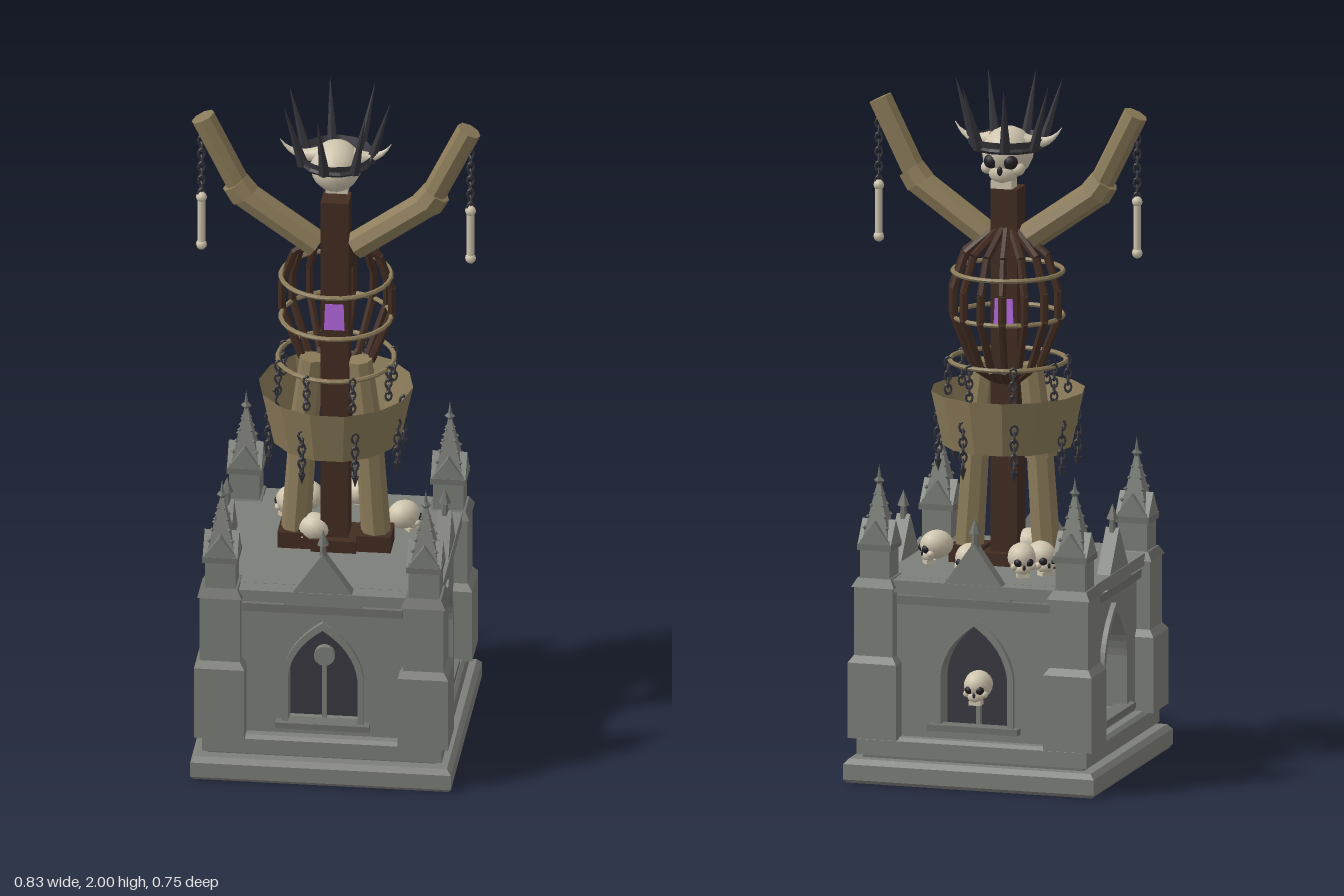
import * as THREE from 'three';

const mat = (color, flat = true, side = THREE.FrontSide) =>
  new THREE.MeshStandardMaterial({ color, flatShading: flat, side });
const M = {
  stone: mat(0x7d7f79), trim: mat(0x70726d), dark: mat(0x3b3942), wood: mat(0x432d22),
  hide: mat(0x8b7b59), hideOpen: mat(0x8b7b59, true, THREE.DoubleSide),
  bone: mat(0xcfc5ae, false), iron: mat(0x35353b), ironOpen: mat(0x3c3a42, true, THREE.DoubleSide),
  socket: mat(0x242126, false), glow: mat(0xb266dd),
};
const V = (x, y, z) => new THREE.Vector3(x, y, z);
const UP = V(0, 1, 0);

function add(parent, name, geo, material, x = 0, y = 0, z = 0) {
  const m = new THREE.Mesh(geo, material);
  m.name = name;
  m.position.set(x, y, z);
  parent.add(m);
  return m;
}
function group(parent, name, x = 0, y = 0, z = 0) {
  const g = new THREE.Group();
  g.name = name;
  g.position.set(x, y, z);
  parent.add(g);
  return g;
}
const box = (p, name, m, w, h, d, x, y, z) => add(p, name, new THREE.BoxGeometry(w, h, d), m, x, y, z);

// Tapered cylinder between two points
function beam(p, name, m, a, b, ra, rb = ra, seg = 8) {
  const c = add(p, name, new THREE.CylinderGeometry(rb, ra, a.distanceTo(b), seg), m);
  c.position.copy(a).lerp(b, 0.5);
  c.quaternion.setFromUnitVectors(UP, b.clone().sub(a).normalize());
  return c;
}
// Square frustum with sides along x and z, given half widths
function frustum(p, name, m, bottom, top, h, x, y, z) {
  const g = new THREE.CylinderGeometry(top * Math.SQRT2, bottom * Math.SQRT2, h, 4).rotateY(Math.PI / 4);
  return add(p, name, g, m, x, y + h / 2, z);
}
// Pointed arch outline
function arch(path, w, y0, spring, apex) {
  path.moveTo(-w, y0);
  path.lineTo(w, y0);
  path.lineTo(w, spring);
  path.quadraticCurveTo(w * 0.9, spring + (apex - spring) * 0.6, 0, apex);
  path.quadraticCurveTo(-w * 0.9, spring + (apex - spring) * 0.6, -w, spring);
  path.lineTo(-w, y0);
  return path;
}
const extrude = (shape, depth) =>
  new THREE.ExtrudeGeometry(shape, { depth, bevelEnabled: false, curveSegments: 8 });
const triangle = (w, y0, y1) =>
  new THREE.Shape([new THREE.Vector2(-w, y0), new THREE.Vector2(w, y0), new THREE.Vector2(0, y1)]);

// Skull looking along +z, with cranium radius r
function skull(parent, name, r, x, y, z, turn) {
  const g = group(parent, name, x, y, z);
  g.rotation.y = turn;
  const ball = (n, m, rad, px, py, pz, sx = 1, sy = 1, sz = 1) =>
    add(g, n, new THREE.SphereGeometry(rad * r, 14, 10), m, px * r, py * r, pz * r).scale.set(sx, sy, sz);
  ball('cranium', M.bone, 1, 0, 0.15, 0, 0.92, 0.92, 1.08);
  ball('upperJaw', M.bone, 0.55, 0, -0.5, 0.55, 1, 0.8, 0.8);
  box(g, 'lowerJaw', M.bone, 0.8 * r, 0.28 * r, 0.65 * r, 0, -0.92 * r, 0.5 * r);
  ball('noseHole', M.socket, 0.13, 0, -0.38, 0.98, 0.8, 1.3, 0.6);
  for (const s of [-1, 1]) {
    ball('eyeSocket', M.socket, 0.27, s * 0.36, -0.05, 0.84);
    ball('cheekbone', M.bone, 0.24, s * 0.58, -0.34, 0.6);
  }
  return g;
}
// Chain of links, alternately turned, hanging down from its origin
function chain(parent, name, x, y, z, links, r = 0.009) {
  const g = group(parent, name, x, y, z);
  for (let i = 0; i < links; i++) {
    const l = add(g, 'link', new THREE.TorusGeometry(r, r * 0.35, 5, 8), M.iron, 0, -r * (1 + i * 2.1), 0);
    l.scale.y = 1.4;
    l.rotation.y = (i % 2) * Math.PI / 2 + 0.4;
  }
  return g;
}

function buildWall(shrine, i) {
  const g = group(shrine, 'shrineWall');
  g.rotation.y = i * Math.PI / 2;
  const wall = new THREE.Shape([[-0.27, 0.13], [0.27, 0.13], [0.27, 0.56], [-0.27, 0.56]].map(p => new THREE.Vector2(...p)));
  wall.holes.push(arch(new THREE.Path(), 0.1, 0.17, 0.32, 0.47));
  add(g, 'wallPanel', extrude(wall, 0.06), M.stone, 0, 0, 0.25);
  const rim = arch(new THREE.Shape(), 0.118, 0.165, 0.32, 0.495);
  rim.holes.push(arch(new THREE.Path(), 0.1, 0.17, 0.32, 0.47));
  add(g, 'archMoulding', extrude(rim, 0.025), M.stone, 0, 0, 0.3);
  box(g, 'sill', M.trim, 0.27, 0.018, 0.05, 0, 0.17, 0.315);
  box(g, 'stringCourse', M.trim, 0.46, 0.025, 0.03, 0, 0.535, 0.312);
  box(g, 'cornice', M.stone, 0.48, 0.035, 0.06, 0, 0.575, 0.305);
  add(g, 'gable', extrude(triangle(0.115, 0.55, 0.715), 0.04), M.stone, 0, 0, 0.293);
  add(g, 'gableFinialStem', new THREE.CylinderGeometry(0.008, 0.012, 0.05, 6), M.trim, 0, 0.72, 0.313);
  add(g, 'gableFinial', new THREE.ConeGeometry(0.018, 0.045, 6), M.trim, 0, 0.762, 0.313);
  // The back niche holds a skull, the others a mullion with a disc
  const back = i === 2;
  box(g, 'mullion', M.stone, 0.012, back ? 0.06 : 0.2, 0.02, 0, back ? 0.2 : 0.27, 0.275);
  if (back) skull(g, 'nicheSkull', 0.045, 0, 0.285, 0.28, 0);
  else add(g, 'mullionDisc', new THREE.CylinderGeometry(0.03, 0.03, 0.02, 14).rotateX(Math.PI / 2), M.stone, 0, 0.37, 0.275);
}

function buildCorner(shrine, sx, sz) {
  const g = group(shrine, 'cornerButtress', sx * 0.293, 0, sz * 0.293);
  box(g, 'lowerPier', M.stone, 0.145, 0.22, 0.145, 0, 0.24, 0);
  frustum(g, 'pierSlope', M.stone, 0.0725, 0.058, 0.02, 0, 0.35, 0);
  box(g, 'upperPier', M.stone, 0.116, 0.21, 0.116, 0, 0.465, 0);
  frustum(g, 'pierCap', M.trim, 0.064, 0.05, 0.025, 0, 0.57, 0);
  box(g, 'pinnacleShaft', M.stone, 0.088, 0.12, 0.088, 0, 0.645, 0);
  box(g, 'pinnacleBand', M.trim, 0.102, 0.018, 0.102, 0, 0.685, 0);
  for (let k = 0; k < 4; k++) {
    const a = k * Math.PI / 2;
    add(g, 'gablet', extrude(triangle(0.05, 0.69, 0.76), 0.05), M.stone).rotation.y = a;
    // Knobs climbing the spire edges
    for (let j = 0; j < 4; j++) {
      const d = 0.038 * (1 - j * 0.24);
      add(g, 'crocket', new THREE.OctahedronGeometry(0.007), M.trim,
        d * Math.cos(a + Math.PI / 4), 0.74 + j * 0.031, d * Math.sin(a + Math.PI / 4)).position.multiply(V(1.25, 1, 1.25));
    }
  }
  frustum(g, 'spire', M.stone, 0.04, 0.004, 0.17, 0, 0.7, 0);
  add(g, 'spireFinial', new THREE.OctahedronGeometry(0.016), M.trim, 0, 0.872, 0);
  add(g, 'spireTip', new THREE.ConeGeometry(0.008, 0.05, 6), M.trim, 0, 0.895, 0);
}

function buildBody(root) {
  const body = group(root, 'body');
  box(body, 'spinePost', M.wood, 0.08, 1.1, 0.08, 0, 1.14, 0);
  box(body, 'postFoot', M.wood, 0.13, 0.04, 0.13, 0, 0.61, 0);
  const heart = frustum(body, 'glowingHeart', M.glow, 0.045, 0.041, 0.08, 0, 1.29, 0);
  heart.scale.x = 0.65;

  for (const s of [-1, 1]) {
    // Legs
    box(body, 'foot', M.wood, 0.1, 0.05, 0.1, s * 0.113, 0.617, 0);
    beam(body, 'shin', M.hide, V(s * 0.115, 0.635, 0), V(s * 0.095, 0.94, 0), 0.043, 0.04);
    beam(body, 'knee', M.hide, V(s * 0.098, 0.91, 0), V(s * 0.095, 0.95, 0), 0.049);
    beam(body, 'thigh', M.hide, V(s * 0.095, 0.94, 0), V(s * 0.068, 1.18, 0), 0.042, 0.036);
    // Raised arms
    beam(body, 'upperArm', M.hide, V(s * 0.055, 1.54, 0), V(s * 0.275, 1.695, 0), 0.042);
    beam(body, 'elbow', M.hide, V(s * 0.262, 1.685, 0), V(s * 0.29, 1.725, 0), 0.047, 0.043);
    beam(body, 'forearm', M.hide, V(s * 0.272, 1.7, 0), V(s * 0.383, 1.925, 0), 0.036);
    // Bone hanging from each wrist
    const c = chain(body, 'wristChain', s * 0.387, 1.86, 0, 9, 0.01);
    beam(c, 'hangingBone', M.bone, V(0, -0.19, 0), V(0, -0.335, 0), 0.011);
    for (const y of [-0.19, -0.34])
      add(c, 'boneKnob', new THREE.SphereGeometry(0.016, 8, 6), M.bone, 0, y, 0);
  }

  // Pelvis band with chains around it
  add(body, 'pelvisBand', new THREE.CylinderGeometry(0.222, 0.187, 0.16, 14, 1, true, Math.PI / 2), M.hideOpen, 0, 1.02, 0);
  for (let i = 0; i < 8; i++) {
    const a = (i + 0.5) * Math.PI / 4, x = Math.cos(a), z = Math.sin(a);
    const c = chain(body, 'bandChain', x * 0.2, 1.03, z * 0.2, 6, 0.0105);
    add(c, 'chainHook', new THREE.ConeGeometry(0.012, 0.035, 5).rotateX(Math.PI), M.iron, 0, -0.15, 0);
    chain(body, 'hoopChain', x * 0.172, 1.19, z * 0.172, 5, 0.0095);
  }

  // Hoops and back ribs
  for (const [y, r] of [[1.445, 0.158], [1.315, 0.158], [1.185, 0.167]])
    add(body, 'hoop', new THREE.TorusGeometry(r, 0.007, 6, 28).rotateX(Math.PI / 2), M.hide, 0, y, 0);
  const profile = [[0.035, 1.57], [0.125, 1.5], [0.16, 1.4], [0.16, 1.32], [0.1, 1.17], [0.04, 1.13]];
  for (let i = 0; i < 8; i++) {
    const a = Math.PI * (0.05 + 0.9 * i / 7);
    const pts = profile.map(([r, y]) => V(r * Math.cos(a), y, -r * Math.sin(a)));
    for (let j = 0; j < pts.length - 1; j++) beam(body, 'rib', M.wood, pts[j], pts[j + 1], 0.012, 0.012, 6);
  }
}

function buildHead(root) {
  const head = group(root, 'head');
  skull(head, 'headSkull', 0.08, 0, 1.78, 0, Math.PI);
  // Curved horns made of tapering pieces
  for (const s of [-1, 1]) {
    const curve = new THREE.QuadraticBezierCurve3(V(s * 0.05, 1.825, 0), V(s * 0.125, 1.81, 0), V(s * 0.16, 1.87, 0.005));
    for (let j = 0; j < 6; j++)
      beam(head, 'horn', M.bone, curve.getPoint(j / 6), curve.getPoint((j + 1) / 6),
        0.024 * (1 - j / 6), Math.max(0.001, 0.024 * (1 - (j + 1) / 6)));
  }
  // Spiked crown
  add(head, 'crownBand', new THREE.CylinderGeometry(0.108, 0.095, 0.035, 14, 1, true), M.ironOpen, 0, 1.82, 0);
  add(head, 'crownRim', new THREE.TorusGeometry(0.1, 0.008, 5, 14).rotateX(Math.PI / 2), M.iron, 0, 1.81, 0);
  for (let i = 0; i < 7; i++) {
    const a = i * Math.PI * 2 / 7, x = Math.cos(a), z = Math.sin(a);
    beam(head, 'crownSpike', M.iron, V(x * 0.1, 1.81, z * 0.1), V(x * 0.157, 2, z * 0.157), 0.017, 0.0005, 6);
  }
}

export function createModel() {
  const root = new THREE.Group();
  root.name = 'shrineIdol';

  // Stone shrine
  const shrine = group(root, 'shrine');
  box(shrine, 'plinth', M.stone, 0.75, 0.045, 0.75, 0, 0.0325, 0);
  frustum(shrine, 'plinthFoot', M.stone, 0.367, 0.375, 0.01, 0, 0, 0);
  frustum(shrine, 'plinthBevel', M.stone, 0.375, 0.362, 0.015, 0, 0.055, 0);
  box(shrine, 'plinthGap', M.trim, 0.66, 0.02, 0.66, 0, 0.075, 0);
  box(shrine, 'upperPlinth', M.stone, 0.69, 0.045, 0.69, 0, 0.1025, 0);
  frustum(shrine, 'upperPlinthBevel', M.stone, 0.345, 0.335, 0.01, 0, 0.125, 0);
  box(shrine, 'nicheCore', M.dark, 0.51, 0.43, 0.51, 0, 0.345, 0);
  box(shrine, 'deck', M.stone, 0.57, 0.04, 0.57, 0, 0.573, 0);
  for (let i = 0; i < 4; i++) buildWall(shrine, i);
  for (const sx of [-1, 1]) for (const sz of [-1, 1]) buildCorner(shrine, sx, sz);

  // Skulls lying on the deck: x, z, turn
  for (const [x, z, turn] of [[0.04, -0.235, 3.1], [-0.1, -0.185, 3.6], [-0.145, -0.145, 4], [0.185, -0.09, 2.2], [-0.06, 0.02, 4.5]])
    skull(root, 'deckSkull', 0.045, x, 0.645, z, turn);

  buildBody(root);
  buildHead(root);
  return root;
}
